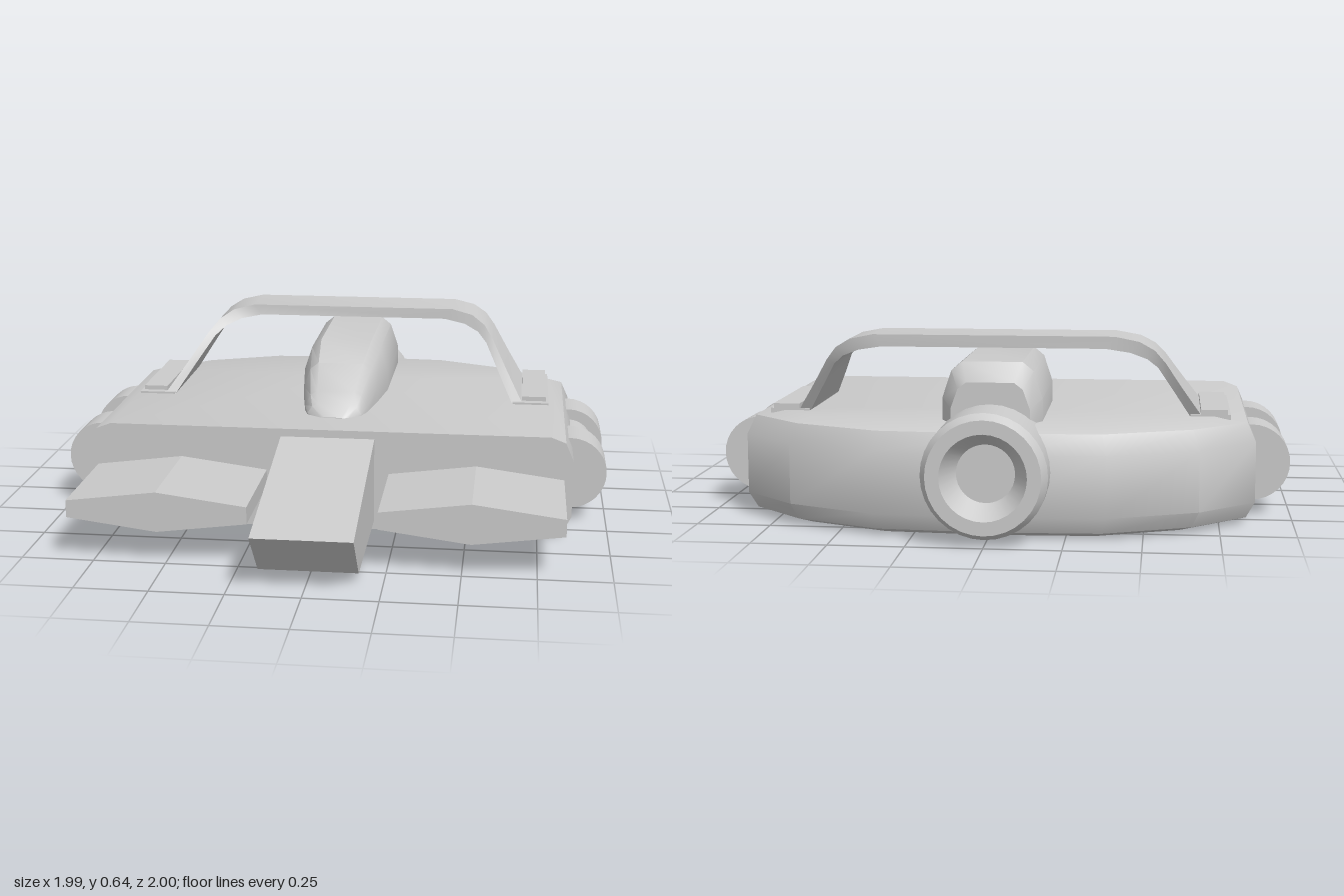
import * as THREE from 'three';
import { toCreasedNormals } from 'three/addons/utils/BufferGeometryUtils.js';

const material = new THREE.MeshStandardMaterial({ color: 0xcccccc });

// Skin a row of closed cross-sections and cap both ends
function loft(rings, crease = 0.6) {
  const n = rings[0].length, tris = [];
  for (let r = 0; r < rings.length - 1; r++) {
    for (let i = 0; i < n; i++) {
      const j = (i + 1) % n;
      const a = rings[r][i], b = rings[r][j], c = rings[r + 1][j], d = rings[r + 1][i];
      tris.push([a, b, c], [a, c, d]);
    }
  }
  const cap = (ring, flip) => {
    const mid = [0, 1, 2].map(k => ring.reduce((s, p) => s + p[k], 0) / n);
    ring.forEach((p, i) => {
      const q = ring[(i + 1) % n];
      tris.push(flip ? [mid, q, p] : [mid, p, q]);
    });
  };
  cap(rings[0], true);
  cap(rings[rings.length - 1], false);
  // Turn the faces outward if the sections ran the other way
  const volume = tris.reduce((s, [a, b, c]) => s
    + a[0] * (b[1] * c[2] - b[2] * c[1])
    + a[1] * (b[2] * c[0] - b[0] * c[2])
    + a[2] * (b[0] * c[1] - b[1] * c[0]), 0);
  if (volume < 0) tris.forEach(t => t.reverse());
  const geo = new THREE.BufferGeometry();
  geo.setAttribute('position', new THREE.Float32BufferAttribute(tris.flat(2), 3));
  return toCreasedNormals(geo, crease);
}

function extrude(points, depth) {
  const shape = new THREE.Shape(points.map(p => new THREE.Vector2(...p)));
  return new THREE.ExtrudeGeometry(shape, { depth, bevelEnabled: false });
}

export function createModel() {
  const model = new THREE.Group();
  const add = (name, geo, x = 0, y = 0, z = 0) => {
    const mesh = new THREE.Mesh(geo, material);
    mesh.name = name;
    mesh.position.set(x, y, z);
    model.add(mesh);
    return mesh;
  };
  const box = (name, x0, x1, y0, y1, z0, z1) =>
    add(name, new THREE.BoxGeometry(x1 - x0, y1 - y0, z1 - z0),
      (x0 + x1) / 2, (y0 + y1) / 2, (z0 + z1) / 2);

  // Hull: rounded-back plan stacked in levels with softened edges
  const half = [[0.87, 0.325], [0.87, -0.57], [0.68, -0.745], [0.38, -0.87]];
  const plan = [...half, [0, -0.89], ...half.map(([x, z]) => [-x, z]).reverse()];
  const levels = [[0, 0.08], [0.02, 0.028], [0.075, 0], [0.28, 0], [0.345, 0.028], [0.365, 0.08]];
  add('hull', loft(levels.map(([y, inset]) => plan.map(([x, z]) =>
    [x * (1 - inset / 0.87), y, z < 0 ? z * (1 - inset / 0.89) : z]))));

  // Front prong: wedge profile across the middle
  const prong = extrude([[-0.3, 0.03], [-0.84, 0.03], [-1, 0.195], [-0.3, 0.342]], 0.336);
  prong.rotateY(Math.PI / 2);
  add('frontProng', prong, -0.168);

  // Top fin: chamfered arch, [z, half width, top height]
  const stations = [[0.165, 0.05, 0.367], [0.12, 0.1, 0.405], [0.07, 0.115, 0.44], [-0.08, 0.14, 0.512],
    [-0.27, 0.163, 0.56], [-0.72, 0.166, 0.56], [-0.79, 0.13, 0.5]];
  add('topFin', loft(stations.map(([z, w, h]) => {
    const k = (h - 0.34) / 0.22;
    const side = [[w, 0.34], [w, 0.34 + 0.1 * k], [w * 0.82, 0.34 + 0.19 * k], [w * 0.6, h]];
    return [...side, ...side.map(([x, y]) => [-x, y]).reverse()].map(([x, y]) => [x, y, z]);
  })));

  // Rear nozzle: chamfered barrel with a dished opening
  const barrel = [[0, 0.5], [0.204, 0.5], [0.204, 0.97], [0.185, 1], [0.14, 1], [0.095, 0.92], [0, 0.92]];
  const nozzle = new THREE.LatheGeometry(barrel.map(p => new THREE.Vector2(...p)), 32);
  nozzle.rotateX(-Math.PI / 2);
  add('rearNozzle', toCreasedNormals(nozzle, 0.5), 0, 0.225, 0);

  // Roll bar: leaning strip, [outer x, outer y, inner x, inner y] from foot to crown
  const bar = [[0.69, 0.362, 0.65, 0.362], [0.625, 0.46, 0.59, 0.46], [0.565, 0.555, 0.54, 0.54],
    [0.53, 0.598, 0.505, 0.57], [0.48, 0.628, 0.45, 0.592], [0.4, 0.645, 0.37, 0.605]];
  const arch = [...bar, ...bar.map(([a, b, c, d]) => [-a, b, -c, d]).reverse()];
  add('rollBar', loft(arch.map(([xo, yo, xi, yi]) => {
    const t = (yo - 0.362) / 0.283;
    const front = -0.11 - 0.39 * t, rear = -0.56 - 0.15 * t;
    return [[xo, yo, front], [xo, yo, rear], [xi, yi, rear], [xi, yi, front]];
  })));

  for (const [side, s] of [['left', 1], ['right', -1]]) {
    // Front blades: flat six-sided section
    const blade = [[0.22, 0.15], [0.53, 0.11], [0.84, 0.15], [0.84, 0.21], [0.53, 0.25], [0.22, 0.21]];
    add(side + 'FrontBlade', extrude(blade.map(([x, y]) => [s * x, y]), 0.445), 0, 0, 0.3);

    // Roll bar feet: plate and raised rail
    const span = (a, b) => (s > 0 ? [a, b] : [-b, -a]);
    box(side + 'FootPlate', ...span(0.65, 0.785), 0.355, 0.372, -0.57, -0.11);
    box(side + 'FootRail', ...span(0.685, 0.775), 0.355, 0.388, -0.57, -0.14);

    // Side pods: two drums joined by a thinner spindle
    for (const [part, r, z0, z1] of [['RearDrum', 0.132, -0.41, -0.245],
      ['Spindle', 0.092, -0.245, -0.015], ['FrontDrum', 0.132, -0.015, 0.15]]) {
      const drum = new THREE.CylinderGeometry(r, r, z1 - z0, 32).rotateX(Math.PI / 2);
      add(side + part, drum, s * 0.865, 0.183, (z0 + z1) / 2);
    }
  }
  return model;
}
